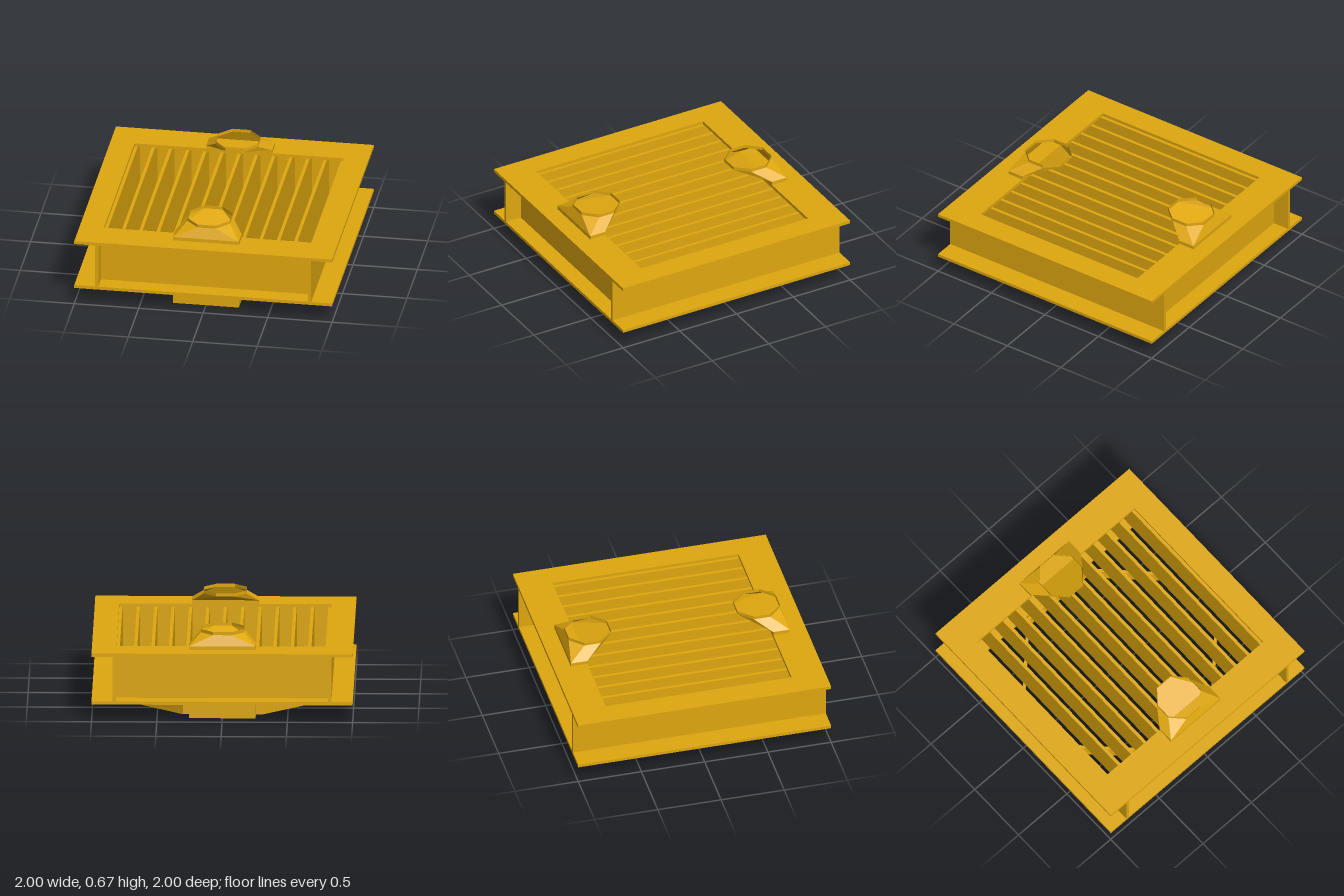
import * as THREE from 'three';

const material = new THREE.MeshStandardMaterial({ color: 0xe0a80f, flatShading: true });
const shellMaterial = material.clone();
shellMaterial.side = THREE.DoubleSide;

const T = 0.025; // sheet thickness

function add(parent, name, geometry, mat = material) {
  const mesh = new THREE.Mesh(geometry, mat);
  mesh.name = name;
  parent.add(mesh);
  return mesh;
}

// Box given by its ranges on each axis
function box(parent, name, [x0, x1], [y0, y1], [z0, z1]) {
  const mesh = add(parent, name, new THREE.BoxGeometry(x1 - x0, y1 - y0, z1 - z0));
  mesh.position.set((x0 + x1) / 2, (y0 + y1) / 2, (z0 + z1) / 2);
  return mesh;
}

// Horizontal plate with one opening, rising from y
function plate(parent, name, outer, inner, y, height) {
  const toPoints = (list) => list.map(([x, z]) => new THREE.Vector2(x, z));
  const shape = new THREE.Shape(toPoints(outer));
  shape.holes.push(new THREE.Path(toPoints(inner)));
  const geometry = new THREE.ExtrudeGeometry(shape, { depth: height, bevelEnabled: false });
  geometry.rotateX(-Math.PI / 2);
  add(parent, name, geometry).position.y = y;
}

const rect = (x, z) => [[-x, -z], [x, -z], [x, z], [-x, z]];
const octagon = (r, c) => [
  [r, -c], [r, c], [c, r], [-c, r], [-r, c], [-r, -c], [-c, -r], [c, -r],
];

// Open-topped scoop: rectangular foot lofted into an eight-sided collar
function scoopGeometry() {
  const mirrorHalf = (half) => [...half, ...half.map(([x, z]) => [-x, z]).reverse()];
  const foot = mirrorHalf([[0.255, 0.865], [0.255, 0.865], [0.255, 0.735], [0.255, 0.735]]);
  const mouth = mirrorHalf([[0.07, 0.835], [0.165, 0.735], [0.165, 0.605], [0.07, 0.5]]);
  const rings = [[foot, 0.563], [mouth, 0.645], [mouth, 0.67]];
  const positions = rings.flatMap(([ring, y]) => ring.flatMap(([x, z]) => [x, y, z]));
  const n = foot.length;
  const index = [];
  for (let r = 0; r < rings.length - 1; r++) {
    for (let i = 0; i < n; i++) {
      const a = r * n + i, b = r * n + (i + 1) % n;
      index.push(a, b, b + n, a, b + n, a + n);
    }
  }
  const geometry = new THREE.BufferGeometry();
  geometry.setAttribute('position', new THREE.Float32BufferAttribute(positions, 3));
  geometry.setIndex(index);
  const flat = geometry.toNonIndexed();
  flat.computeVertexNormals();
  return flat;
}

export function createModel() {
  const model = new THREE.Group();
  model.name = 'ventFrame';

  // Square flanges above and below
  plate(model, 'bottomFlange', rect(1, 1), rect(0.8125, 0.735), 0.135, T);
  plate(model, 'topFlange', rect(1, 1), rect(0.8125, 0.735), 0.51, T);

  // Webs between the flanges: long side walls, recessed end walls
  const webY = [0.16, 0.51];
  box(model, 'leftWall', [0.8125, 0.8375], webY, [-1, 1]);
  box(model, 'rightWall', [-0.8375, -0.8125], webY, [-1, 1]);
  box(model, 'frontWall', [-0.8125, 0.8125], webY, [0.87 - T, 0.87]);
  box(model, 'backWall', [-0.8125, 0.8125], webY, [-0.87, -0.87 + T]);

  // Slats running front to back
  const slats = new THREE.Group();
  slats.name = 'slats';
  model.add(slats);
  for (let i = -6; i <= 6; i++) {
    const x = i * 0.8 / 6;
    box(slats, 'slat', [x - T / 2, x + T / 2], webY, [-0.845, 0.845]);
  }

  // Eight-sided collar underneath
  plate(model, 'lowerCollar', octagon(0.73, 0.305), octagon(0.708, 0.295), 0, 0.135);

  // Front and back: lower block, scoop base and scoop
  const scoop = scoopGeometry();
  for (const [side, turn] of [['front', 0], ['back', Math.PI]]) {
    const end = new THREE.Group();
    end.name = side + 'End';
    end.rotation.y = turn;
    box(end, side + 'LowerBlock', [-0.255, 0.255], [0, 0.135], [0.73, 0.865]);
    box(end, side + 'ScoopBase', [-0.255, 0.255], [0.535, 0.563], [0.735, 0.865]);
    add(end, side + 'Scoop', scoop, shellMaterial);
    model.add(end);
  }
  return model;
}
